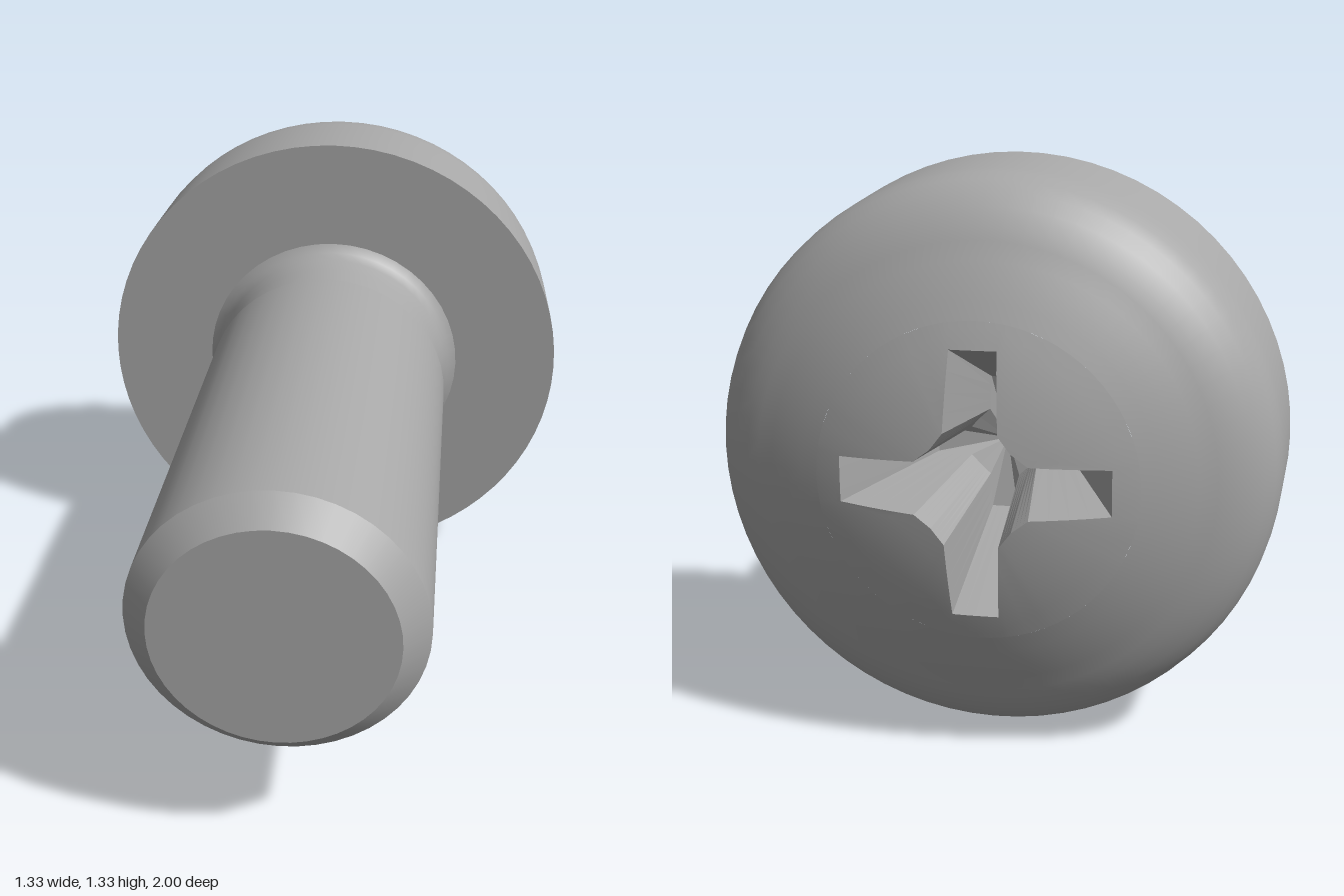
import * as THREE from 'three';

const steel = new THREE.MeshStandardMaterial({ color: 0xa8a8a8 });
steel.name = 'steel grey';

const CAP = 0.36; // radius where the slotted cap meets the rest of the dome
const domeZ = (r) => -1 + 0.5 * r * r;

function add(group, name, geometry) {
  const mesh = new THREE.Mesh(geometry, steel);
  mesh.name = name;
  group.add(mesh);
}

// Surface of revolution about z; points are [radius, z]
function turned(points, segments = 72) {
  const g = new THREE.LatheGeometry(points.map(([r, z]) => new THREE.Vector2(r, z)), segments);
  return g.rotateX(Math.PI / 2);
}

// Outline of the cross: arm reach, half width, and two inner corner points per quarter
function crossOutline(reach, half, inner, mid, steps = 4) {
  const corners = [];
  for (let q = 0; q < 4; q++) {
    const c = Math.round(Math.cos(q * Math.PI / 2)), s = Math.round(Math.sin(q * Math.PI / 2));
    for (const [x, y] of [[reach, -half], [reach, half], [inner, half * 1.15], [mid, mid], [half * 1.15, inner]]) {
      corners.push([x * c - y * s, x * s + y * c]);
    }
  }
  const out = [];
  corners.forEach(([x, y], i) => {
    const [nx, ny] = corners[(i + 1) % corners.length];
    for (let k = 0; k < steps; k++) {
      out.push([x + (nx - x) * k / steps, y + (ny - y) * k / steps]);
    }
  });
  return out;
}

// Skin between closed rows of [x, y, z], running from the middle outwards, facing -z
function skin(rows) {
  const n = rows[0].length, index = [];
  for (let k = 0; k < rows.length - 1; k++) {
    for (let j = 0; j < n; j++) {
      const a = k * n + j, d = k * n + (j + 1) % n;
      index.push(a, d + n, a + n, a, d, d + n);
    }
  }
  const g = new THREE.BufferGeometry();
  g.setAttribute('position', new THREE.Float32BufferAttribute(rows.flat(2), 3));
  g.setIndex(index);
  return g;
}

export function createModel() {
  const model = new THREE.Group();
  model.name = 'panHeadScrew';
  const screw = new THREE.Group();
  screw.name = 'screw';
  screw.position.y = 0.667;
  screw.rotation.x = 0.008; // the shank droops very slightly
  model.add(screw);

  // Head: dome with rounded shoulder and slightly drafted rim
  const dome = [];
  for (let r = CAP; r < 0.53; r += 0.04) dome.push([r, domeZ(r)]);
  dome.push([0.55, -0.853], [0.59, -0.825], [0.62, -0.795], [0.64, -0.762], [0.651, -0.725],
    [0.656, -0.68], [0.662, -0.55], [0.667, -0.433]);
  add(screw, 'headDome', turned(dome));
  add(screw, 'headUnderside', turned([[0.667, -0.433], [0.37, -0.433]]));

  // Crown of the dome around the cross recess
  const rim = crossOutline(0.3, 0.052, 0.125, 0.088);
  const floor = crossOutline(0.16, 0.03, 0.08, 0.058);
  const crown = [];
  for (let k = 0; k <= 5; k++) {
    crown.push(rim.map(([x, y]) => {
      const r = Math.hypot(x, y), f = (r + (CAP - r) * k / 5) / r;
      return [x * f, y * f, domeZ(r * f)];
    }));
  }
  const crownGeometry = skin(crown);
  crownGeometry.computeVertexNormals();
  add(screw, 'headCrown', crownGeometry);

  // Tapered cross recess with a shallow conical floor
  const recess = skin([
    floor.map(() => [0, 0, -0.58]),
    floor.map(([x, y]) => [x, y, -0.62]),
    rim.map(([x, y]) => [x, y, domeZ(Math.hypot(x, y))]),
  ]).toNonIndexed();
  recess.computeVertexNormals();
  add(screw, 'crossRecess', recess);

  // Shank: fillet and neck, straight body, chamfer and end face
  const shank = new THREE.Group();
  shank.name = 'shank';
  shank.position.y = -0.002;
  screw.add(shank);
  add(shank, 'neck', turned([[0.376, -0.435], [0.35, -0.42], [0.338, -0.39], [0.33, -0.34], [0.326, -0.27]], 48));
  add(shank, 'neckStep', turned([[0.326, -0.27], [0.342, -0.235]], 48));
  add(shank, 'body', turned([[0.342, -0.235], [0.347, 0.94]], 48));
  add(shank, 'tipChamfer', turned([[0.347, 0.94], [0.285, 1]], 48));
  add(shank, 'tipFace', turned([[0.285, 1], [0, 1]], 48));

  return model;
}
